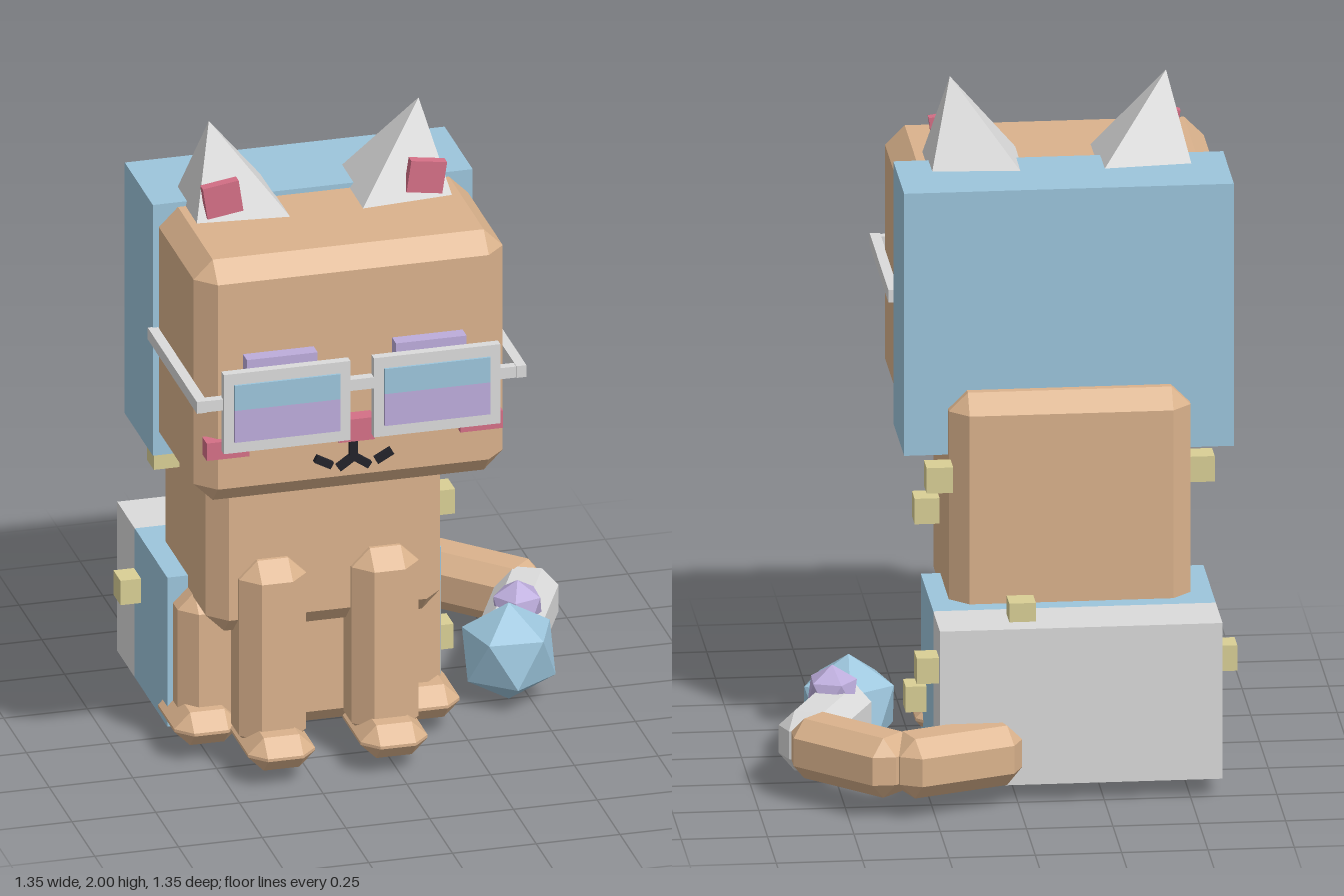
import * as THREE from 'three';
import { ConvexGeometry } from 'three/addons/geometries/ConvexGeometry.js';

const mat = (name, color) => {
  const m = new THREE.MeshStandardMaterial({ color });
  m.name = name;
  return m;
};

const CX = -0.18; // mirror plane of the body

export function createModel() {
  const tan = mat('tan', 0xdab28c), blue = mat('blue', 0x9cc5dc), grey = mat('pale grey', 0xdadada);
  const yellow = mat('yellow', 0xd9cf95), purple = mat('lavender', 0xbcacdb);
  const pink = mat('pink', 0xd46f86), black = mat('black', 0x22222a);
  const group = new THREE.Group();

  const add = (name, geo, material, x = 0, y = 0, z = 0) => {
    const m = new THREE.Mesh(geo, material);
    m.name = name;
    m.position.set(x, y, z);
    group.add(m);
    return m;
  };
  // Plain box given by its extents
  const box = (name, material, x0, x1, y0, y1, z0, z1) =>
    add(name, new THREE.BoxGeometry(x1 - x0, y1 - y0, z1 - z0), material,
      (x0 + x1) / 2, (y0 + y1) / 2, (z0 + z1) / 2);
  // Box with every edge cut off at 45 degrees
  const chamferGeo = (w, h, d, c) => {
    const pts = [], s = [-1, 1];
    for (const i of s) for (const j of s) for (const k of s) for (let a = 0; a < 3; a++) {
      pts.push(new THREE.Vector3(
        i * (w / 2 - (a === 0 ? 0 : c)),
        j * (h / 2 - (a === 1 ? 0 : c)),
        k * (d / 2 - (a === 2 ? 0 : c))));
    }
    return new ConvexGeometry(pts);
  };
  const chamfer = (name, material, x0, x1, y0, y1, z0, z1, c) =>
    add(name, chamferGeo(x1 - x0, y1 - y0, z1 - z0, c), material,
      (x0 + x1) / 2, (y0 + y1) / 2, (z0 + z1) / 2);

  // Head, torso and haunches
  chamfer('head', tan, -0.64, 0.283, 0.975, 1.735, -0.1, 0.568, 0.057);
  box('headBackCover', blue, -0.658, 0.297, 0.957, 1.75, -0.178, 0.13);
  chamfer('torso', tan, -0.53, 0.17, 0.43, 1.15, -0.257, 0.295, 0.055);
  chamfer('haunches', tan, -0.575, 0.21, 0.05, 0.495, -0.49, 0.147, 0.05);
  box('haunchCover', blue, -0.592, 0.226, 0.056, 0.527, -0.311, 0.046);
  box('rumpCover', grey, -0.592, 0.226, 0.056, 0.527, -0.504, -0.311);

  for (const s of [-1, 1]) {
    const side = s < 0 ? 'right' : 'left';
    // Helper for boxes placed by distance from the mirror plane
    const pair = (name, material, a, b, ...rest) => {
      const p = CX + s * a, q = CX + s * b;
      return box(side + name, material, Math.min(p, q), Math.max(p, q), ...rest);
    };

    // Legs and paws
    const lx = CX + s * 0.168, hx = CX + s * 0.328;
    chamfer(side + 'FrontLeg', tan, lx - 0.1, lx + 0.1, 0.07, 0.67, 0.16, 0.36, 0.054);
    chamfer(side + 'FrontPaw', tan, lx - 0.1, lx + 0.1, 0.05, 0.153, 0.16, 0.45, 0.047);
    chamfer(side + 'HindPaw', tan, hx - 0.098, hx + 0.098, 0.05, 0.153, -0.05, 0.222, 0.047);

    // Ear: leaning four-sided pyramid
    const ear = [[0.38, 1.73, 0.016], [0.107, 1.73, -0.01], [0.105, 1.73, 0.283],
      [0.382, 1.73, 0.258], [0.313, 2, 0.138]];
    add(side + 'Ear', new ConvexGeometry(ear.map(([x, y, z]) =>
      new THREE.Vector3(CX + s * x, y, z))), grey);
    add(side + 'InnerEar', new THREE.BoxGeometry(0.108, 0.098, 0.03), pink,
      CX + s * 0.304, 1.803, 0.248).rotation.z = -s * 0.148;

    // Eye with pupil and highlight
    pair('Eye', purple, 0.117, 0.328, 1.18, 1.452, 0.555, 0.612);
    pair('Pupil', black, 0.17, 0.24, 1.2, 1.395, 0.61, 0.62);
    pair('EyeHighlight', grey, 0.245, 0.295, 1.33, 1.38, 0.61, 0.622);
    pair('Cheek', pink, 0.315, 0.442, 1.137, 1.192, 0.54, 0.59);

    // Spectacles: rim, two-tone lens, hinge and temple arm
    pair('RimTop', grey, 0.035, 0.413, 1.405, 1.44, 0.643, 0.67);
    pair('RimBottom', grey, 0.035, 0.413, 1.19, 1.225, 0.643, 0.67);
    pair('RimInner', grey, 0.035, 0.066, 1.225, 1.405, 0.643, 0.67);
    pair('RimOuter', grey, 0.382, 0.413, 1.225, 1.405, 0.643, 0.67);
    pair('LensTop', blue, 0.066, 0.382, 1.326, 1.405, 0.652, 0.677);
    pair('LensBottom', purple, 0.066, 0.382, 1.225, 1.326, 0.652, 0.677);
    pair('Hinge', grey, 0.405, 0.465, 1.325, 1.36, 0.635, 0.662);
    pair('TempleArm', grey, 0.462, 0.492, 1.325, 1.362, 0.125, 0.665);

    // Curling mouth
    add(side + 'MouthInner', new THREE.BoxGeometry(0.06, 0.022, 0.024), black,
      CX + s * 0.022, 1.08, 0.573).rotation.z = -s * 0.6;
    add(side + 'MouthOuter', new THREE.BoxGeometry(0.055, 0.022, 0.024), black,
      CX + s * 0.09, 1.087, 0.573).rotation.z = s * 0.5;
  }
  box('spectacleBridge', grey, -0.218, -0.145, 1.345, 1.38, 0.641, 0.67);
  box('nose', pink, -0.235, -0.128, 1.16, 1.23, 0.55, 0.618);
  box('mouthStem', black, -0.193, -0.169, 1.085, 1.165, 0.56, 0.585);

  // Tail: three chamfered links ending in two gems
  [[0.187, -0.543, 20, tan], [0.476, -0.483, -45, tan], [0.53, -0.217, 65, grey]]
    .forEach(([x, z, deg, m], i) => {
      add('tailLink' + (i + 1), chamferGeo(0.39, 0.18, 0.18, 0.048), m, x, 0.156, z)
        .rotation.y = THREE.MathUtils.degToRad(deg);
    });
  const gem = (name, r, material, x, y, z, turn) => {
    const g = new THREE.IcosahedronGeometry(r, 0);
    g.rotateZ(-0.5536); // stand it on one corner
    g.rotateY(turn);
    add(name, g, material, x, y, z);
  };
  gem('tailTipGem', 0.152, blue, 0.44, 0.154, 0, 0.25);
  gem('smallTailGem', 0.08, purple, 0.5, 0.235, -0.125, 0.6);

  // Small cubes dotted over the body
  [[-0.57, 0.87, -0.08], [0.204, 0.913, -0.245], [0.204, 0.71, 0.1], [-0.615, 0.36, -0.28],
    [0.252, 0.4, -0.438], [0.248, 0.2, -0.08], [-0.02, 0.545, -0.398]]
    .forEach(([x, y, z], i) => add('stud' + (i + 1),
      new THREE.BoxGeometry(0.077, 0.077, 0.077), yellow, x, y, z));

  return group;
}
